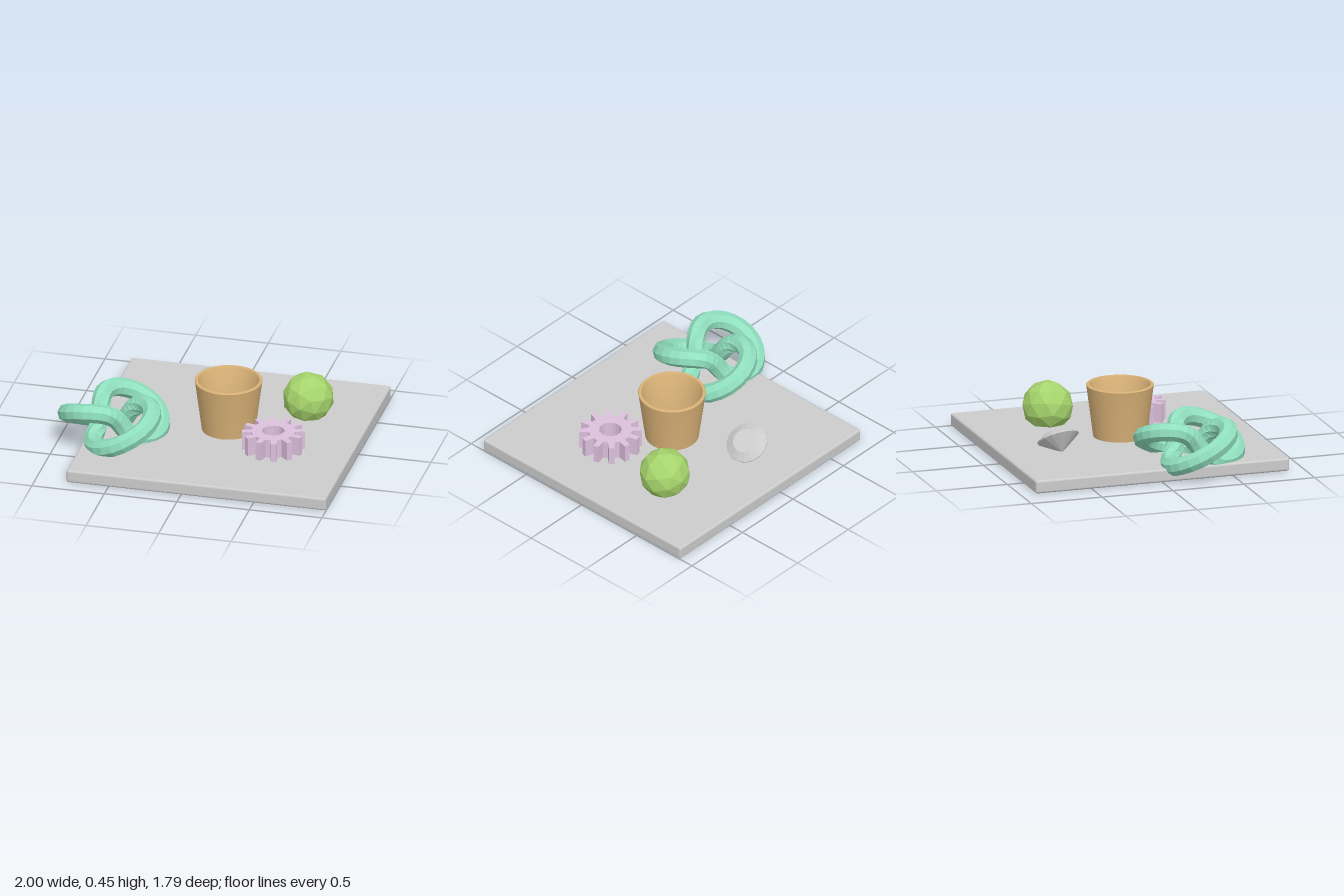
import * as THREE from 'three';
import { RoundedBoxGeometry } from 'three/addons/geometries/RoundedBoxGeometry.js';
import { toCreasedNormals } from 'three/addons/utils/BufferGeometryUtils.js';

const FLOOR = 0.09; // top of the base plate

function part(name, geometry, color, flatShading = false) {
  const mesh = new THREE.Mesh(geometry, new THREE.MeshStandardMaterial({ color, flatShading }));
  mesh.name = name;
  return mesh;
}

// Solid of revolution from [radius, height] pairs, listed bottom to top outside
function lathe(profile, segments) {
  return new THREE.LatheGeometry(profile.map(([r, y]) => new THREE.Vector2(r, y)), segments);
}

// Spur gear with a round bore
function gearGeometry(teeth, root, tip, bore, thickness) {
  const shape = new THREE.Shape();
  for (let i = 0; i < teeth; i++) {
    const mid = ((i + 0.5) / teeth) * Math.PI * 2;
    [[root, -0.15], [tip, -0.09], [tip, 0.09], [root, 0.15]].forEach(([r, a], k) => {
      const x = r * Math.cos(mid + a), y = r * Math.sin(mid + a);
      if (i === 0 && k === 0) shape.moveTo(x, y);
      else shape.lineTo(x, y);
    });
  }
  shape.closePath();
  const hole = new THREE.Path();
  hole.absarc(0, 0, bore, 0, Math.PI * 2, true);
  shape.holes.push(hole);
  const geo = new THREE.ExtrudeGeometry(shape, { depth: thickness, bevelEnabled: false, curveSegments: 24 });
  return toCreasedNormals(geo.rotateX(-Math.PI / 2), 0.5);
}

export function createModel() {
  const model = new THREE.Group();
  model.name = 'objectTray';

  // Base plate with softened edges
  const plate = part('basePlate', new RoundedBoxGeometry(1.79, FLOOR, 1.79, 3, 0.016), 0xcccccc);
  plate.position.set(0.105, FLOOR / 2, 0);

  // Trefoil knot lying flat over the plate's edge
  const knotGeo = new THREE.TorusKnotGeometry(0.227, 0.064, 72, 8, 2, 3);
  knotGeo.rotateX(-Math.PI / 2).rotateY(Math.PI);
  const knot = part('knot', knotGeo, 0x90dfbe, true);
  knot.position.set(-0.595, 0.208, 0.275);

  // Tapered open cup
  const cupGeo = lathe([
    [0, 0], [0.18, 0], [0.225, 0.345], [0.227, 0.354], [0.222, 0.36],
    [0.206, 0.36], [0.202, 0.354], [0.162, 0.03], [0, 0.03],
  ], 48);
  const cup = part('cup', toCreasedNormals(cupGeo, 0.6), 0xd9b277);
  cup.position.set(0.105, FLOOR, 0);

  // Gear
  const gear = part('gear', gearGeometry(12, 0.148, 0.211, 0.074, 0.13), 0xdcc0dc);
  gear.position.set(0.47, FLOOR, 0.225);

  // Faceted ball
  const ball = part('facetedBall', new THREE.IcosahedronGeometry(0.174, 1), 0xa6d46c, true);
  ball.rotation.set(0.3, 0.5, 0.2);
  ball.position.set(0.565, 0.207, -0.355);

  // Cut gem resting on its girdle and point
  const gemGeo = lathe([[0, -0.105], [0.143, -0.004], [0.143, 0.004], [0.085, 0.04], [0, 0.04]], 16);
  const gem = part('gem', gemGeo, 0xcccccc, true);
  gem.rotation.set(0, 0.18, -0.59, 'YXZ');
  gem.position.set(-0.087, 0.169, -0.502);

  model.add(plate, knot, cup, gear, ball, gem);
  return model;
}
